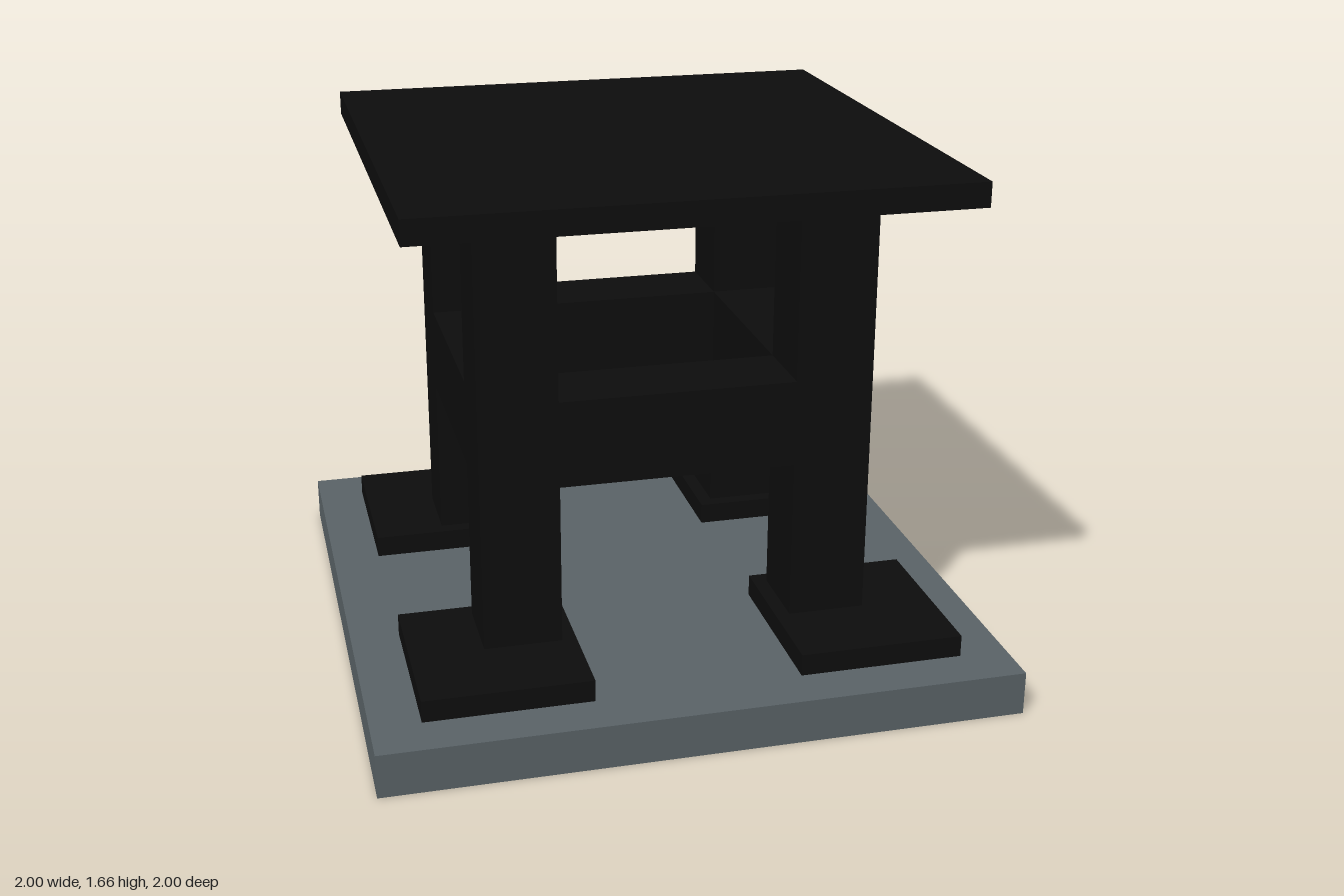
import * as THREE from 'three';

export function createModel() {
  const model = new THREE.Group();
  const black = new THREE.MeshStandardMaterial({ color: 0x0d0d0d });
  const slate = new THREE.MeshStandardMaterial({ color: 0x596266 });

  // Box given by its extents on each axis
  function box(name, [x0, x1], [y0, y1], [z0, z1], material = black) {
    const mesh = new THREE.Mesh(new THREE.BoxGeometry(x1 - x0, y1 - y0, z1 - z0), material);
    mesh.position.set((x0 + x1) / 2, (y0 + y1) / 2, (z0 + z1) / 2);
    mesh.name = name;
    model.add(mesh);
  }
  const side = (s, a, b) => (s > 0 ? [a, b] : [-b, -a]);

  // Ground slab and table top
  box('baseSlab', [-1, 1], [0, 0.14], [-1, 1], slate);
  box('tableTop', [-0.846, 0.846], [1.588, 1.665], [-0.846, 0.846]);

  for (const s of [1, -1]) {
    // Legs on wide foot plates, one at each corner
    for (const t of [1, -1]) {
      const corner = (t > 0 ? 'front' : 'back') + (s > 0 ? 'Left' : 'Right');
      box(corner + 'Foot', side(s, 0.324, 0.846), [0.14, 0.21], side(t, 0.292, 0.85));
      box(corner + 'Leg', side(s, 0.37, 0.615), [0.21, 1.588], side(t, 0.338, 0.583));
    }
    // Rails joining the legs, flush with their faces
    box(s > 0 ? 'frontRail' : 'backRail', [-0.37, 0.37], [0.727, 1.002], side(s, 0.338, 0.583));
    box(s > 0 ? 'leftRail' : 'rightRail', side(s, 0.37, 0.615), [0.727, 1.002], [-0.338, 0.338]);
  }
  return model;
}
